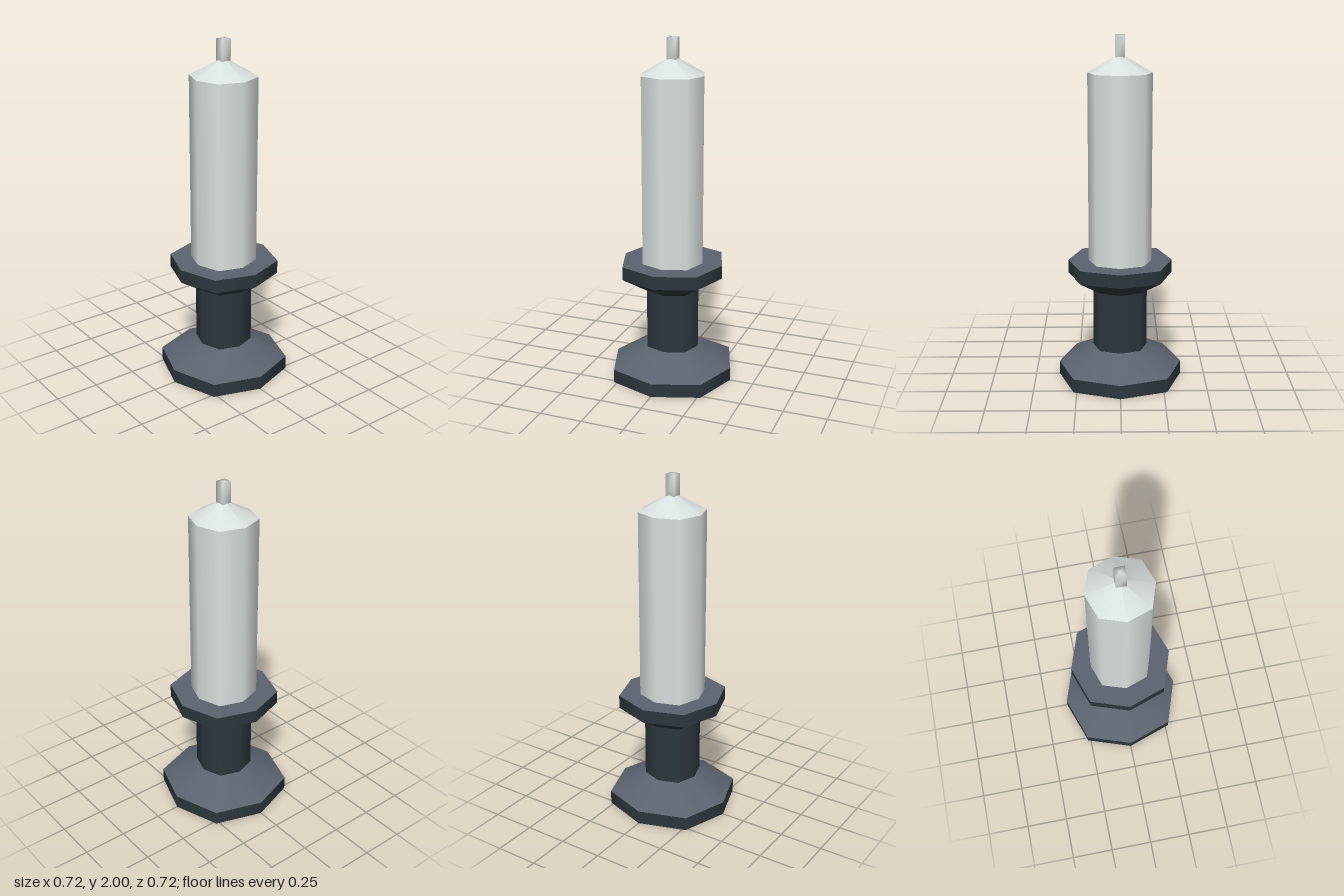
import * as THREE from 'three';
import { mergeVertices } from 'three/addons/utils/BufferGeometryUtils.js';

const candleWax = new THREE.MeshStandardMaterial({ name: 'pale wax', color: 0xd9e1de });
const darkMetal = new THREE.MeshStandardMaterial({ name: 'dark slate', color: 0x2d373e });
const lightMetal = new THREE.MeshStandardMaterial({ name: 'light slate', color: 0x5c636f });

// Push the diagonal corners of an octagon slightly outwards
function bulgeDiagonals(geometry) {
  const p = geometry.attributes.position;
  for (let i = 0; i < p.count; i++) {
    const x = p.getX(i), z = p.getZ(i);
    if (Math.abs(x) > 0.001 && Math.abs(z) > 0.001) p.setXYZ(i, x * 1.055, p.getY(i), z * 1.055);
  }
  return geometry;
}

export function createModel() {
  const model = new THREE.Group();
  model.name = 'candleInHolder';

  const add = (name, geometry, material, y = 0) => {
    const mesh = new THREE.Mesh(geometry, material);
    mesh.name = name;
    mesh.position.y = y;
    model.add(mesh);
    return mesh;
  };

  // Open eight-sided band between two heights
  const band = (name, y0, r0, y1, r1, material) => add(name,
    bulgeDiagonals(new THREE.CylinderGeometry(r1, r0, y1 - y0, 8, 1, true)), material, (y0 + y1) / 2);

  // Flat eight-sided disc facing up or down
  const disc = (name, y, r, up, material) => add(name,
    bulgeDiagonals(new THREE.CircleGeometry(r, 8).rotateX(up ? -Math.PI / 2 : Math.PI / 2)), material, y);

  // Holder
  disc('baseBottom', 0, 0.36, false, darkMetal);
  band('baseSide', 0, 0.36, 0.08, 0.36, darkMetal);
  band('baseSlope', 0.08, 0.36, 0.19, 0.157, lightMetal);
  band('stem', 0.19, 0.157, 0.545, 0.157, darkMetal);
  band('cupUnderside', 0.545, 0.157, 0.635, 0.3, darkMetal);
  band('cupRim', 0.635, 0.3, 0.713, 0.3, darkMetal);
  disc('cupTop', 0.713, 0.3, true, lightMetal);

  // Candle
  band('candleBody', 0.713, 0.182, 1.797, 0.182, candleWax);
  band('candleTip', 1.797, 0.182, 1.9, 0.002, candleWax);

  // Square wick with soft shading over its corners
  let wick = new THREE.CylinderGeometry(0.0396, 0.0396, 0.13, 4).rotateY(Math.PI / 4);
  wick.deleteAttribute('uv');
  wick.deleteAttribute('normal');
  wick = mergeVertices(wick, 0.0001);
  wick.computeVertexNormals();
  add('wick', wick, candleWax, 1.935);

  return model;
}
